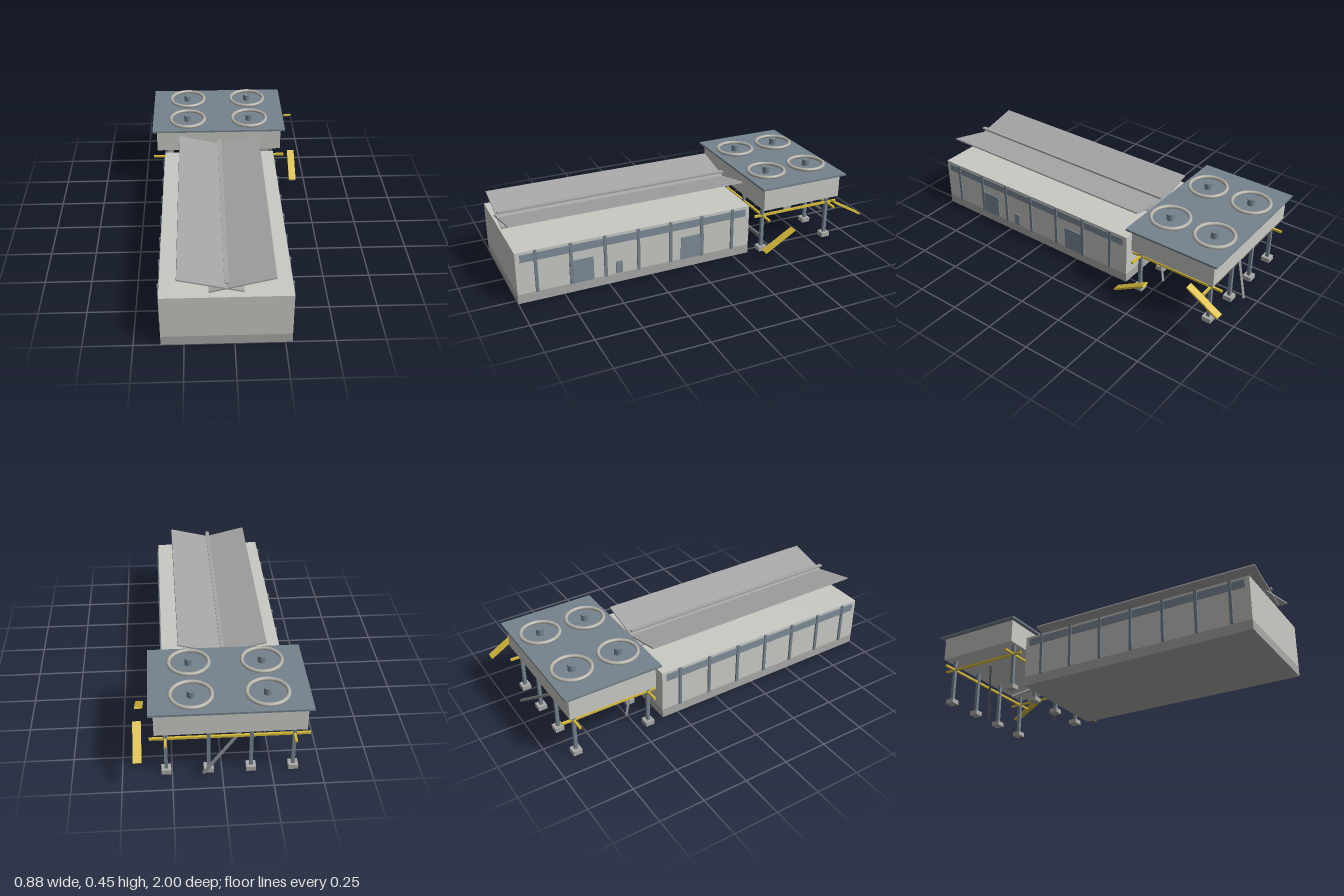
import * as THREE from 'three';

const mat = (name, color, flatShading = false) => {
  const m = new THREE.MeshStandardMaterial({ color, flatShading });
  m.name = name;
  return m;
};

export function createModel() {
  const root = new THREE.Group();
  root.name = 'coolingPlant';
  const wall = mat('wall grey', 0xc9cac4);
  const concrete = mat('concrete', 0xaaaaa8);
  const roof = mat('roof grey', 0xa6a6a6);
  const steel = mat('blue steel', 0x75838e);
  const glass = mat('glass blue', 0x7e8c98);
  const ringGrey = mat('fan ring grey', 0xb5b2aa);
  const brace = mat('brace grey', 0x75797c);
  const yellow = mat('safety yellow', 0xd9bd3a);

  const add = (name, geo, m, x, y, z) => {
    const mesh = new THREE.Mesh(geo, m);
    mesh.name = name;
    mesh.position.set(x, y, z);
    root.add(mesh);
    return mesh;
  };
  // Box given by its extents on each axis
  const box = (name, m, x0, x1, y0, y1, z0, z1) =>
    add(name, new THREE.BoxGeometry(x1 - x0, y1 - y0, z1 - z0), m,
      (x0 + x1) / 2, (y0 + y1) / 2, (z0 + z1) / 2);

  const CX = -0.04, HALF = 0.325, Z0 = -0.345, Z1 = 1;

  // Hall
  box('hallBase', concrete, CX - HALF, CX + HALF, 0, 0.053, Z0, Z1);
  box('hallWalls', wall, CX - HALF, CX + HALF, 0.053, 0.295, Z0, Z1);

  // Window strips and wall columns on both long sides
  for (const s of [-1, 1]) {
    const plate = (name, m, t, y0, y1, z0, z1) => {
      const a = CX + s * HALF, b = a + s * t;
      box(name, m, Math.min(a, b), Math.max(a, b), y0, y1, z0, z1);
    };
    plate('windowStrip', glass, 0.004, 0.237, 0.28, -0.32, 0.975);
    for (let i = 0; i < 7; i++) {
      const z = 0.895 - i * 0.1885;
      plate('wallColumn', steel, 0.009, 0.053, 0.295, z - 0.008, z + 0.008);
    }
    // Doors on one side only
    if (s > 0) {
      plate('largeDoor', glass, 0.006, 0.053, 0.187, 0.585, 0.718);
      plate('largeDoor', glass, 0.006, 0.053, 0.187, -0.06, 0.078);
      plate('smallDoor', glass, 0.006, 0.058, 0.127, 0.423, 0.46);
    }
  }

  // Crossing roof slabs and ridge bar
  for (const s of [-1, 1]) {
    const slab = add('roofSlab', new THREE.BoxGeometry(0.33, 0.008, Z1 - Z0), roof,
      CX + s * 0.076, 0.366, (Z0 + Z1) / 2);
    slab.rotation.z = s * 0.235;
  }
  box('ridgeBar', roof, CX - 0.011, CX + 0.011, 0.375, 0.385, Z0, Z1);

  // Cooler housing and deck
  box('coolerHousing', wall, CX - 0.375, CX + 0.335 + 0.04, 0.272, 0.405, -0.906, -0.413);
  box('coolerDeck', steel, CX - 0.4, CX + 0.4, 0.405, 0.416, -0.93, -0.39);

  // Fans
  const ringGeo = new THREE.TorusGeometry(0.103, 0.01, 10, 40).rotateX(Math.PI / 2);
  const hubGeo = new THREE.CylinderGeometry(0.021, 0.021, 0.036, 20);
  for (const x of [-0.228, 0.148]) for (const z of [-0.792, -0.526]) {
    add('fanRing', ringGeo, ringGrey, x, 0.427, z);
    add('fanHub', hubGeo, steel, x, 0.434, z);
  }

  // Legs with footings
  const legGeo = new THREE.BoxGeometry(0.018, 0.25, 0.018);
  const footGeo = new THREE.BoxGeometry(0.05, 0.026, 0.05);
  for (const z of [-0.865, -0.435]) for (let i = 0; i < 4; i++) {
    const x = -0.36 + i * 0.64 / 3;
    add('leg', legGeo, steel, x, 0.15, z);
    add('footing', footGeo, concrete, x, 0.013, z);
  }

  // Rail frame around the legs
  for (const z of [-0.865, -0.435])
    box('crossRail', yellow, CX - 0.4, CX + 0.4, 0.211, 0.223, z - 0.006, z + 0.006);
  for (const x of [-0.36, 0.28])
    box('sideRail', yellow, x - 0.006, x + 0.006, 0.211, 0.223, -0.93, -0.385);

  // Sloping yellow boards beside the cooler
  for (const [y, z, s] of [[0.115, -0.468, 1], [0.235, -0.905, -1]]) {
    const board = add('slopingBoard', new THREE.BoxGeometry(0.042, 0.01, 0.212), yellow, 0.417, y, z);
    board.rotation.x = s * 0.53;
  }

  // Diagonal braces
  const rod = (a, b) => {
    const p = new THREE.Vector3(...a), q = new THREE.Vector3(...b);
    const m = add('diagonalBrace', new THREE.BoxGeometry(0.012, 0.012, p.distanceTo(q)), brace, 0, 0, 0);
    m.position.copy(p).add(q).multiplyScalar(0.5);
    m.lookAt(q);
  };
  rod([-0.03, 0.155, -0.345], [0.17, 0.01, -0.512]);
  rod([-0.15, 0.09, -0.42], [-0.26, 0.01, -0.512]);
  rod([-0.22, 0.272, -0.715], [0.1, 0.07, -0.966]);
  return root;
}
